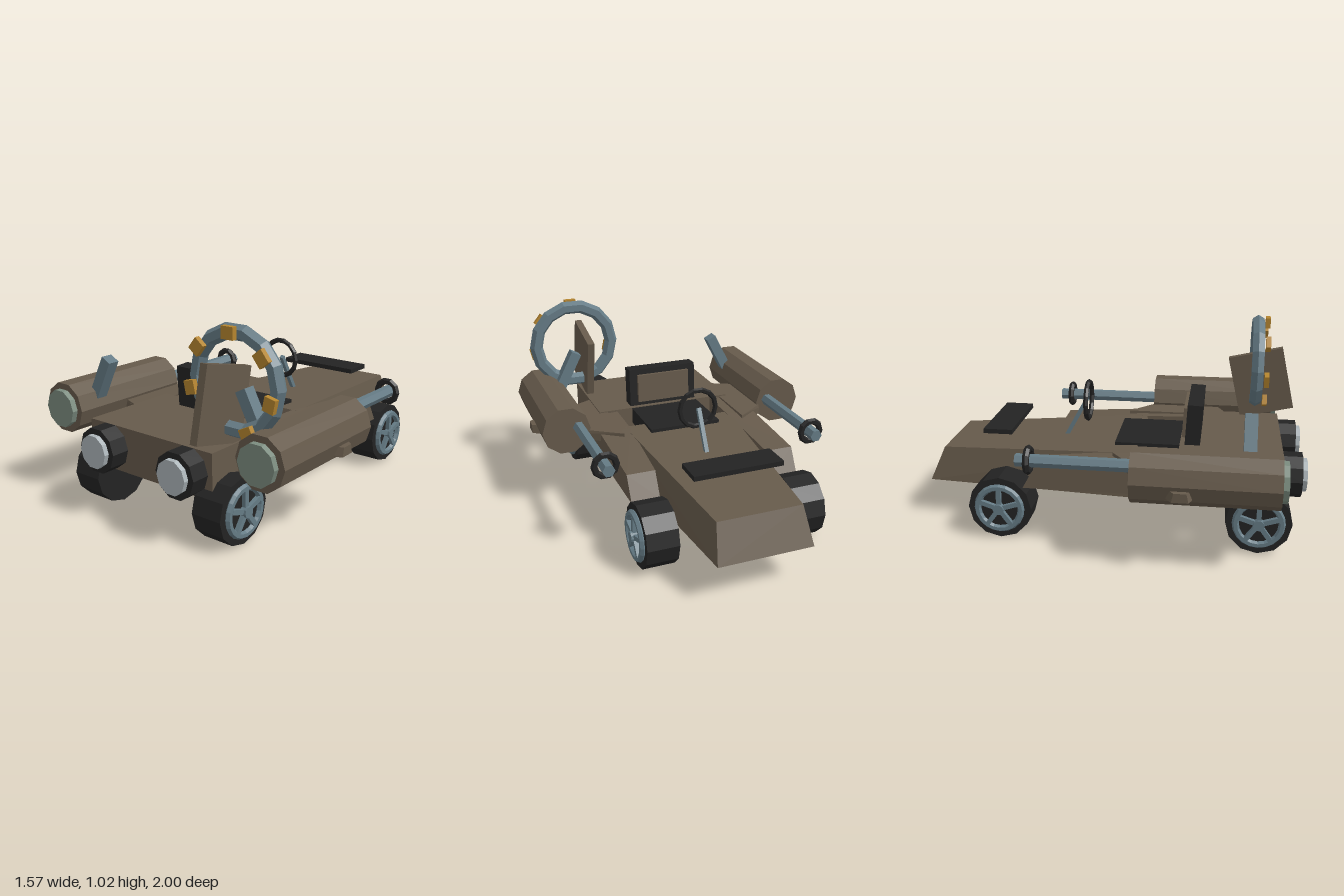
import * as THREE from 'three';
import { ConvexGeometry } from 'three/addons/geometries/ConvexGeometry.js';

const material = (name, color) => {
  const m = new THREE.MeshStandardMaterial({ color });
  m.name = name;
  return m;
};

export function createModel() {
  const brown = material('brown panel', 0x665a4b);
  const black = material('black rubber', 0x232323);
  const steel = material('blue steel', 0x657b85);
  const gold = material('gold', 0xb5852f);
  const lamp = material('pale lamp', 0xabb4b8);
  const glass = material('green glass', 0x7b8c7f);

  const root = new THREE.Group();
  root.name = 'rocketKart';

  // Adds a faceted mesh
  function add(parent, name, geometry, mat, pos = [0, 0, 0], rot = [0, 0, 0]) {
    const g = geometry.index ? geometry.toNonIndexed() : geometry;
    g.computeVertexNormals();
    const mesh = new THREE.Mesh(g, mat);
    mesh.name = name;
    mesh.position.set(...pos);
    mesh.rotation.set(...rot);
    parent.add(mesh);
    return mesh;
  }
  const box = (w, h, d) => new THREE.BoxGeometry(w, h, d);
  // Cylinder along z, with a vertex on the x axis
  const tubeZ = (r0, r1, len, n) =>
    new THREE.CylinderGeometry(r1, r0, len, n).rotateY(Math.PI / 2).rotateX(Math.PI / 2);
  // Convex solid from [x, y, z] points
  const hull = (pts) => new ConvexGeometry(pts.map((p) => new THREE.Vector3(...p)));
  // Solid symmetric in x from [halfWidth, y, z] points
  const symmetricHull = (pts) => hull(pts.flatMap(([x, y, z]) => [[x, y, z], [-x, y, z]]));

  // Body
  add(root, 'nose', symmetricHull([
    [0.245, 0.2, -1], [0.22, 0.385, -0.92], [0.315, 0.44, 0.13], [0.345, 0.2, 0.21],
  ]), brown);
  add(root, 'engineBlock', box(0.79, 0.23, 0.53), brown, [0, 0.34, 0.615]);

  // Floating black hood plate
  add(root, 'hoodPlate', box(0.47, 0.025, 0.155), black, [0, 0.492, -0.615]);

  // Seat
  const seat = new THREE.Group();
  seat.name = 'seat';
  root.add(seat);
  add(seat, 'seatCushion', box(0.4, 0.09, 0.4), black, [0, 0.407, 0.21]);
  add(seat, 'seatBack', box(0.4, 0.27, 0.08), black, [0, 0.535, 0.42], [0.05, 0, 0]);
  add(seat, 'backPanel', box(0.31, 0.16, 0.02), brown, [0, 0.56, 0.372], [0.05, 0, 0]);

  // Steering wheel and column
  add(root, 'steeringWheel', new THREE.TorusGeometry(0.101, 0.014, 6, 14), black, [0, 0.615, -0.163]);
  add(root, 'steeringColumn', box(0.022, 0.25, 0.022), steel, [0, 0.51, -0.233], [0.5, 0, 0]);

  // Wheel with its outer face toward +x for s = 1
  function addWheel(s, z) {
    const wheel = new THREE.Group();
    wheel.name = (s > 0 ? 'left' : 'right') + (z > 0 ? 'Front' : 'Rear') + 'Wheel';
    wheel.position.set(s * 0.395, 0.165, z);
    wheel.rotation.y = s * Math.PI / 2;
    root.add(wheel);
    add(wheel, 'tire', tubeZ(0.165, 0.165, 0.165, 12), black);
    add(wheel, 'rim', new THREE.TorusGeometry(0.114, 0.018, 6, 20), steel, [0, 0, 0.088]);
    for (let i = 0; i < 5; i++) {
      const a = Math.PI / 2 + (i * Math.PI * 2) / 5;
      add(wheel, 'spoke', box(0.09, 0.024, 0.025), steel,
        [Math.cos(a) * 0.06, Math.sin(a) * 0.06, 0.092], [0, 0, a]);
    }
    add(wheel, 'hub', tubeZ(0.028, 0.028, 0.04, 10), steel, [0, 0, 0.096]);
  }

  for (const s of [1, -1]) {
    const side = s > 0 ? 'left' : 'right';
    addWheel(s, 0.765);
    addWheel(s, -0.55);

    // Side pod, stepping down behind the rear wheel
    add(root, side + 'SidePod', hull([
      [0.29, 0.275, 0.58], [0.29, 0.45, 0.58], [0.46, 0.275, 0.56], [0.46, 0.44, 0.56],
      [0.29, 0.44, 0.1], [0.46, 0.43, 0.1], [0.31, 0.4, -0.36], [0.46, 0.4, -0.36],
      [0.31, 0.275, -0.43], [0.46, 0.275, -0.43],
    ].map(([x, y, z]) => [s * x, y, z])), brown);

    // Tapered wing carrying the tank
    add(root, side + 'Wing', hull([
      [0.35, 0.39, 0.02], [0.35, 0.45, 0.02], [0.35, 0.39, 0.6], [0.35, 0.45, 0.6],
      [0.785, 0.39, 0.35], [0.785, 0.435, 0.36], [0.785, 0.39, 0.43], [0.785, 0.435, 0.42],
    ].map(([x, y, z]) => [s * x, y, z])), brown);

    // Tank with glass end, rod and ring
    const tank = new THREE.Group();
    tank.name = side + 'Tank';
    tank.position.set(s * 0.635, 0.457, 0);
    root.add(tank);
    add(tank, 'tankShell', tubeZ(0.133, 0.133, 0.7, 10), brown, [0, 0, 0.5]);
    add(tank, 'tankGlass', tubeZ(0.1, 0.1, 0.04, 10), glass, [0, 0, 0.86]);
    add(tank, 'rod', tubeZ(0.033, 0.033, 0.6, 6), steel, [s * -0.067, 0.015, -0.13]);
    add(tank, 'rodRing', new THREE.TorusGeometry(0.057, 0.018, 6, 10), black, [s * -0.067, 0.018, -0.365]);

    // Leaning post on the tank
    add(root, side + 'Post', box(0.06, 0.27, 0.062), steel, [s * 0.498, 0.595, 0.703], [0, 0, s * 0.48]);

    // Headlight
    const light = new THREE.Group();
    light.name = side + 'Headlight';
    light.position.set(s * 0.255, 0.345, 0);
    root.add(light);
    add(light, 'housing', tubeZ(0.115, 0.115, 0.13, 10), black, [0, 0, 0.91]);
    add(light, 'lens', tubeZ(0.085, 0.085, 0.04, 10), lamp, [0, 0, 0.98]);
  }

  // Large ring with gold studs
  const ring = new THREE.Group();
  ring.name = 'largeRing';
  ring.position.set(0.43, 0.757, 0.747);
  root.add(ring);
  add(ring, 'ringTube', new THREE.TorusGeometry(0.227, 0.038, 6, 14), steel);
  for (let i = 0; i < 7; i++) {
    const a = Math.PI / 2 + (i * Math.PI * 2) / 7;
    add(ring, 'ringStud', box(0.058, 0.066, 0.026), gold,
      [Math.cos(a) * 0.228, Math.sin(a) * 0.228, 0.052], [0, 0, a]);
  }

  // Tilted fin beside the ring
  add(root, 'fin', box(0.04, 0.357, 0.307), brown, [0.365, 0.65, 0.776], [-0.225, 0, 0]);
  root.getObjectByName('fin').rotation.x = -0.225;

  return root;
}
